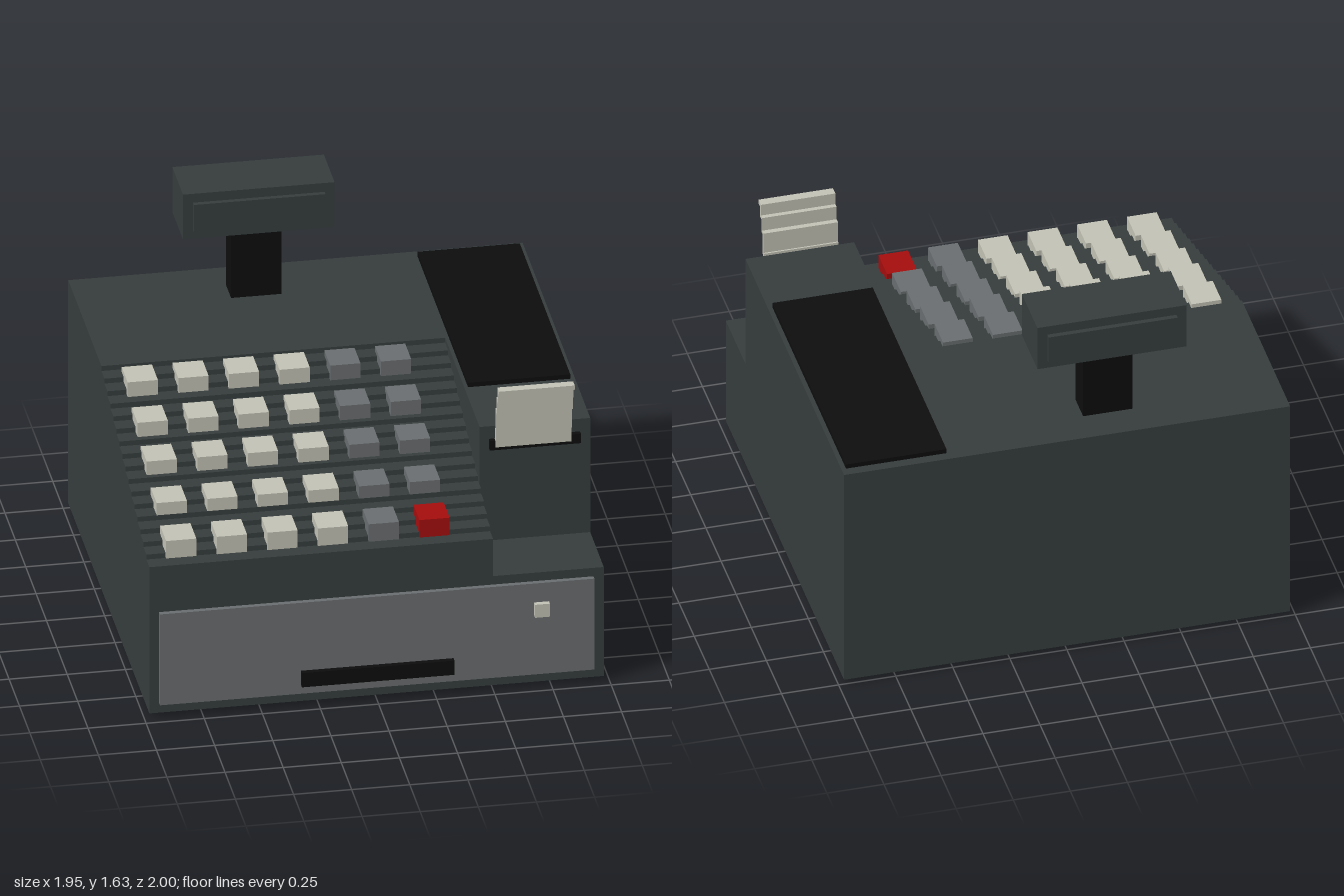
import * as THREE from 'three';

const material = (name, color) => {
  const m = new THREE.MeshStandardMaterial({ color });
  m.name = name;
  return m;
};

export function createModel() {
  const model = new THREE.Group();
  model.name = 'cashRegister';
  const casing = material('darkSlate', 0x363d3d);
  const black = material('black', 0x0d0d0d);
  const grey = material('grey', 0x6a6e70);
  const cream = material('cream', 0xc2c2b5);
  const red = material('red', 0xa50d0d);

  // Box given by its extents on each axis
  const box = (name, mat, [x0, x1], [y0, y1], [z0, z1], parent = model) => {
    const mesh = new THREE.Mesh(new THREE.BoxGeometry(x1 - x0, y1 - y0, z1 - z0), mat);
    mesh.position.set((x0 + x1) / 2, (y0 + y1) / 2, (z0 + z1) / 2);
    mesh.name = name;
    parent.add(mesh);
    return mesh;
  };

  // Side profile of [z, y] points, extruded from x0 to x1
  const profile = (name, mat, points, x0, x1) => {
    const shape = new THREE.Shape(points.map(([z, y]) => new THREE.Vector2(-z, y)));
    const geometry = new THREE.ExtrudeGeometry(shape, { depth: x1 - x0, bevelEnabled: false });
    geometry.rotateY(Math.PI / 2);
    geometry.translate(x0, 0, 0);
    const mesh = new THREE.Mesh(geometry, mat);
    mesh.name = name;
    model.add(mesh);
  };

  // Foot plate
  box('base', black, [-0.934, 0.932], [0, 0.03], [-0.953, 0.913]);

  // Keyboard side of the casing, with a stepped deck
  const front = 0.955, back = -1, top = 1.087, floor = 0.022;
  const deckLow = 0.72, deckEnd = -0.2, steps = 16;
  const rise = (top - deckLow) / steps, tread = (front - deckEnd) / steps;
  const stairs = [[back, floor], [front, floor]];
  for (let i = 0; i < steps; i++) {
    const y = deckLow + i * rise;
    stairs.push([front - i * tread, y], [front - (i + 1) * tread, y]);
  }
  stairs.push([deckEnd, top], [back, top]);
  profile('keyboardCasing', casing, stairs, -0.978, 0.5);

  // Printer side of the casing, set back above the drawer
  profile('printerCasing', casing, [
    [back, floor], [front, floor], [front, 0.542], [0.63, 0.542], [0.63, top], [back, top],
  ], 0.5, 0.976);
  box('printerCover', black, [0.516, 0.956], [1.08, 1.108], [-0.957, 0.262]);
  box('paperSlot', black, [0.54, 0.932], [0.982, 1.027], [0.61, 0.652]);

  // Receipt curling forward in small steps
  profile('receipt', cream, [
    [0.635, 1.0], [0.662, 1.0], [0.662, 1.07], [0.672, 1.07], [0.672, 1.17], [0.692, 1.17],
    [0.692, 1.235], [0.712, 1.235], [0.712, 1.285], [0.738, 1.285], [0.738, 1.305],
    [0.698, 1.305], [0.698, 1.25], [0.678, 1.25], [0.678, 1.185], [0.655, 1.185],
    [0.655, 1.085], [0.648, 1.085], [0.648, 1.03], [0.635, 1.03],
  ], 0.564, 0.89);

  // Cash drawer
  box('drawerFront', grey, [-0.936, 0.932], [0.068, 0.502], [0.94, 0.977]);
  box('drawerHandle', black, [-0.33, 0.326], [0.11, 0.178], [0.96, 1]);
  box('drawerLock', cream, [0.673, 0.737], [0.35, 0.412], [0.96, 1]);

  // Keys, front row first
  const keys = new THREE.Group();
  keys.name = 'keys';
  model.add(keys);
  const columns = [-0.83, -0.612, -0.395, -0.177, 0.041, 0.259];
  const rows = [[0.822, 0.806], [0.594, 0.87], [0.354, 0.945], [0.134, 1.017], [-0.104, 1.088]];
  rows.forEach(([z, y], r) => columns.forEach((x, c) => {
    const mat = c < 4 ? cream : r === 0 && c === 5 ? red : grey;
    box('key', mat, [x - 0.065, x + 0.065], [y - 0.083, y], [z - 0.072, z + 0.072], keys);
  }));

  // Customer display on a post, with a raised panel on both faces
  box('displayPost', black, [-0.328, -0.112], [1.08, 1.43], [-0.845, -0.718]);
  box('displayHead', casing, [-0.546, 0.106], [1.418, 1.632], [-0.913, -0.656]);
  box('displayPanelFront', casing, [-0.503, 0.063], [1.458, 1.59], [-0.66, -0.634]);
  box('displayPanelBack', casing, [-0.503, 0.063], [1.458, 1.59], [-0.935, -0.905]);

  return model;
}
